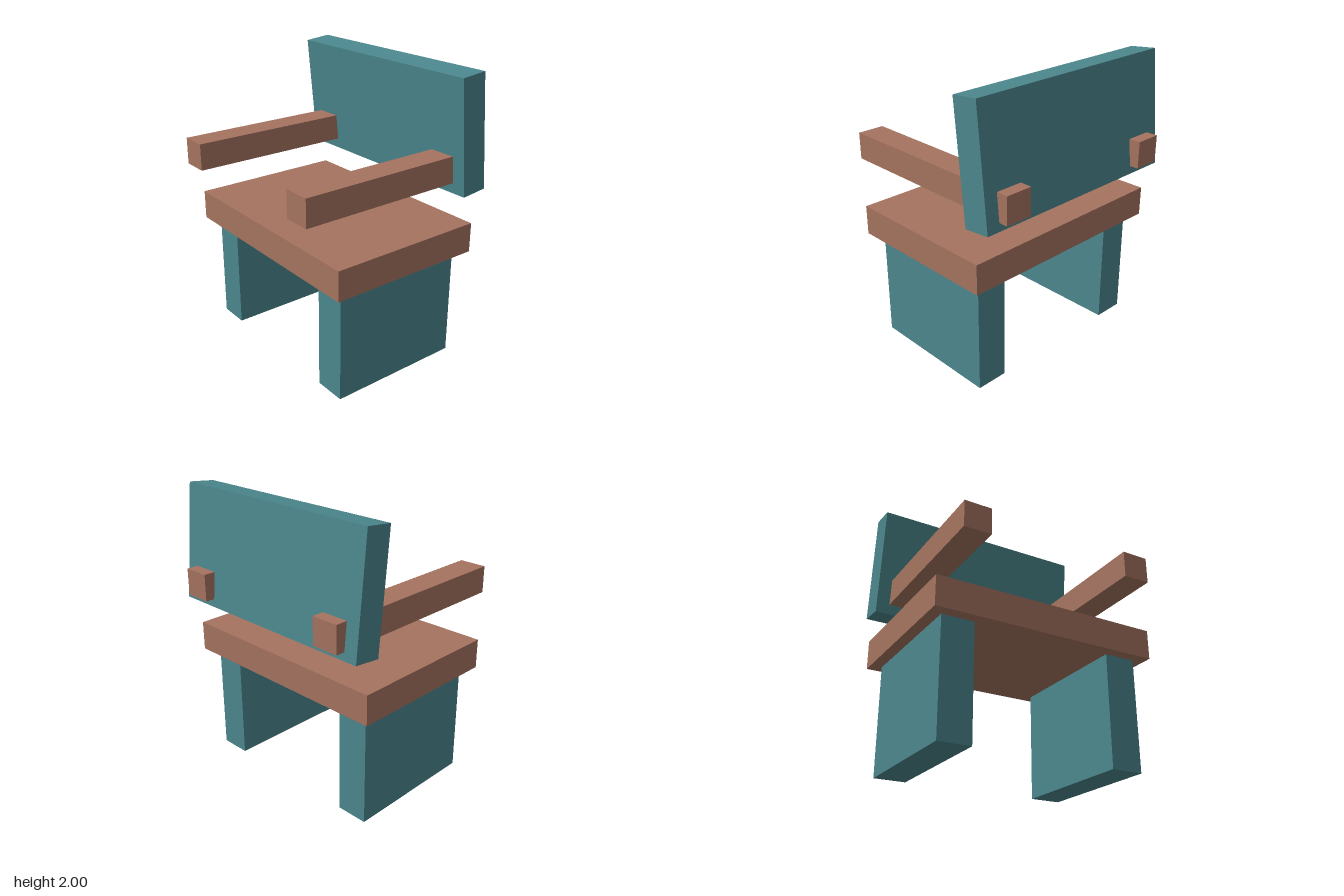
import * as THREE from 'three';

export function createModel() {
  const model = new THREE.Group();
  model.name = 'armchair';

  const teal = new THREE.MeshStandardMaterial({ color: 0x4b878d });
  teal.name = 'teal';
  const brown = new THREE.MeshStandardMaterial({ color: 0xa5735f });
  brown.name = 'brown';

  // Adds a named box given its size and centre
  function addBox(name, material, size, centre) {
    const mesh = new THREE.Mesh(new THREE.BoxGeometry(...size), material);
    mesh.name = name;
    mesh.position.set(...centre);
    model.add(mesh);
    return mesh;
  }

  // Seat slab
  addBox('seat', brown, [1.592, 0.207, 1.12], [0, 0.882, 0]);

  // Backrest, its top tilted slightly forward
  const backrest = addBox('backrest', teal, [1.592, 0.797, 0.19], [0, 1.596, -0.525]);
  backrest.rotation.x = 0.1;

  // Panel legs and armrests, mirrored; the armrests pass through the backrest
  for (const [side, s] of [['left', 1], ['right', -1]]) {
    addBox(side + 'Leg', teal, [0.223, 0.778, 0.96], [s * 0.605, 0.389, 0]);
    addBox(side + 'Armrest', brown, [0.19, 0.187, 1.436], [s * 0.605, 1.357, 0]);
  }

  return model;
}
